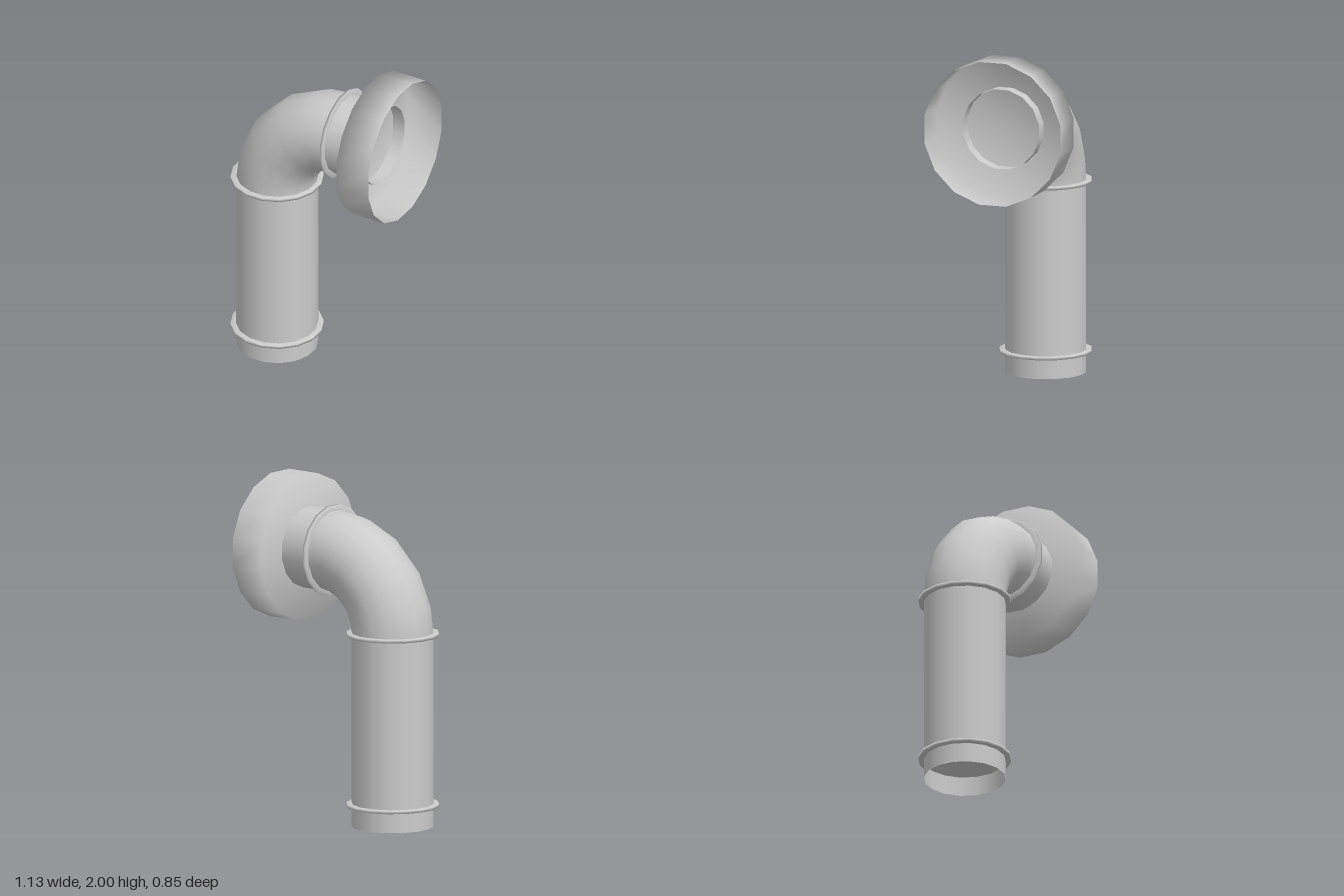
import * as THREE from 'three';

const SIDES = 16;
const HALF = Math.PI / SIDES;
const R = 0.24;        // pipe radius
const BEND = 0.45;     // bend radius of the elbow axis
const PIVOT = new THREE.Vector3(0.15, 1.127, 0);
const AXIS_Y = PIVOT.y + BEND;

const material = new THREE.MeshStandardMaterial({ color: 0xcccccc, side: THREE.DoubleSide });

function part(name, geometry) {
  const mesh = new THREE.Mesh(geometry, material);
  mesh.name = name;
  return mesh;
}

// Turned part around y, with flats facing the main axes
function turned(name, profile) {
  const points = profile.map(([r, y]) => new THREE.Vector2(r, y));
  return part(name, new THREE.LatheGeometry(points, SIDES, HALF));
}

// Open tube through stations of { angle around the elbow, shift along the pipe }
function pipe(name, stations) {
  const positions = [], normals = [], index = [];
  stations.forEach(({ deg, shift = 0 }, i) => {
    const a = THREE.MathUtils.degToRad(deg);
    const out = new THREE.Vector3(-Math.cos(a), Math.sin(a), 0);
    const along = new THREE.Vector3(Math.sin(a), Math.cos(a), 0);
    const centre = PIVOT.clone().addScaledVector(out, BEND).addScaledVector(along, shift);
    for (let j = 0; j < SIDES; j++) {
      const t = HALF + (j / SIDES) * Math.PI * 2;
      const n = out.clone().multiplyScalar(Math.cos(t));
      n.z = Math.sin(t);
      positions.push(...centre.clone().addScaledVector(n, R).toArray());
      normals.push(...n.toArray());
      if (i === 0) continue;
      const k = (j + 1) % SIDES, p = (i - 1) * SIDES, q = i * SIDES;
      index.push(p + j, p + k, q + j, p + k, q + k, q + j);
    }
  });
  const g = new THREE.BufferGeometry();
  g.setAttribute('position', new THREE.Float32BufferAttribute(positions, 3));
  g.setAttribute('normal', new THREE.Float32BufferAttribute(normals, 3));
  g.setIndex(index);
  return part(name, g);
}

// Thin raised band around the pipe
function band(name) {
  const h = 0.009, inner = R - 0.005, outer = 0.272;
  return turned(name, [[inner, -h], [outer, -h], [outer, h], [inner, h]]);
}

export function createModel() {
  const group = new THREE.Group();
  group.name = 'elbowPipe';
  const pipeX = PIVOT.x - BEND;

  // Upright pipe, elbow and the short outlet that pokes into the cup
  group.add(pipe('uprightPipe', [{ deg: 0, shift: -PIVOT.y }, { deg: 0 }]));
  group.add(pipe('elbow', [0, 15, 34, 56, 75, 90].map((deg) => ({ deg }))));
  group.add(pipe('outletPipe', [{ deg: 90 }, { deg: 90, shift: 0.27 }]));

  // Closing disc inside the foot
  const plug = turned('footPlug', [[0, 0], [R, 0]]);
  plug.position.set(pipeX, 0.12, 0);
  group.add(plug);

  // Bands at the foot and at both ends of the elbow
  const lower = band('footBand');
  lower.position.set(pipeX, 0.127, 0);
  const middle = band('elbowLowerBand');
  middle.position.set(pipeX, 1.138, 0);
  const upper = band('elbowUpperBand');
  upper.rotation.z = -Math.PI / 2;
  upper.position.set(0.151, AXIS_Y, 0);
  group.add(lower, middle, upper);

  // Wide open cup at the outlet
  const cup = turned('outletCup', [[0, 0], [0.433, 0], [0.433, 0.215]]);
  cup.rotation.z = -Math.PI / 2;
  cup.position.set(0.345, 1.575, 0);
  group.add(cup);

  return group;
}
